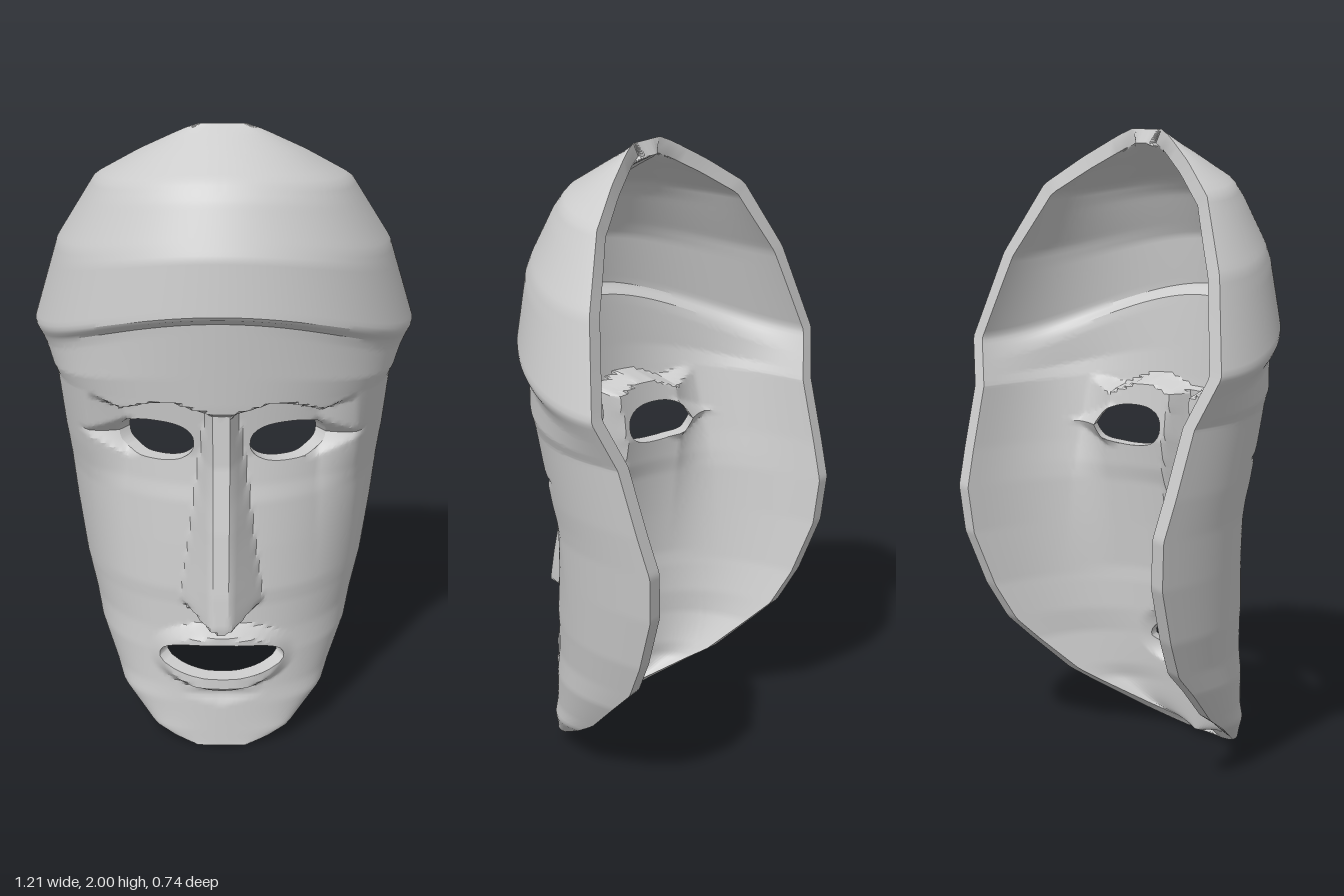
import * as THREE from 'three';
import { toCreasedNormals } from 'three/addons/utils/BufferGeometryUtils.js';

const ROWS = 168, COLS = 128, WALL = 0.05;
const clamp = (t) => Math.min(1, Math.max(0, t));

// Piecewise linear curve through [position, value] points
function curve(points) {
  return (t) => {
    let i = 1;
    while (i < points.length - 1 && t > points[i][0]) i++;
    const [a, va] = points[i - 1], [b, vb] = points[i];
    return va + (vb - va) * clamp((t - a) / (b - a));
  };
}

// Outline of the rim: half width and depth by height
const halfWidth = curve([[0, 0.08], [0.02, 0.15], [0.05, 0.22], [0.15, 0.33], [0.32, 0.41], [0.52, 0.465], [0.7, 0.495],
  [0.97, 0.525], [1.17, 0.54], [1.32, 0.605], [1.6, 0.52], [1.82, 0.39], [1.91, 0.25], [1.98, 0.12], [2, 0.07]]);
const rimZ = curve([[0, 0.255], [0.05, 0.18], [0.2, -0.04], [0.4, -0.24], [0.52, -0.3], [0.7, -0.36], [0.85, -0.37],
  [1.17, -0.28], [1.33, -0.235], [1.6, -0.17], [1.83, -0.1], [2, 0]]);
// Middle profile: chin, cheeks, forehead, overhanging cap
const frontZ = curve([[0, 0.26], [0.15, 0.25], [0.5, 0.23], [0.7, 0.235], [0.9, 0.235], [1.2, 0.272], [1.48, 0.295],
  [1.505, 0.335], [1.68, 0.315], [1.83, 0.24], [1.88, 0.2], [1.95, 0.085], [2, 0]]);
const roundness = curve([[0, 0.8], [1.3, 0.75], [1.52, 1], [2, 1]]);
// How far each row droops toward the sides, so the cap edge arches
const droop = curve([[1.15, 0], [1.45, 0.2], [1.52, 0.2], [2, 0]]);

// Nose ridge and width, brow line, and the hollow under the brow
const noseZ = curve([[0.45, 0.37], [0.5, 0.375], [0.6, 0.36], [0.8, 0.32], [1, 0.27], [1.17, 0.255]]);
const noseW = curve([[0.53, 0.13], [0.75, 0.1], [0.95, 0.075], [1.17, 0.045]]);
const browY = curve([[0, 1.17], [0.07, 1.185], [0.15, 1.21], [0.22, 1.2], [0.31, 1.165], [0.4, 1.19]]);
const socket = curve([[0.55, 0], [0.85, 0.035], [1, 0.075], [1.2, 0.08]]);

// Rounded openings; "up" and "down" are the heights above and below the centre
const holes = [
  { x: -0.205, y: 1.04, w: 0.118, up: 0.068, down: 0.066, p: 2.4 },
  { x: 0.205, y: 1.04, w: 0.118, up: 0.068, down: 0.066, p: 2.4 },
  { x: 0, y: 0.315, w: 0.2, up: 0.077, down: 0.043, p: 2.2 },
];
const lips = { x: 0, y: 0.315, w: 0.24, up: 0.127, down: 0.106, p: 2.1 };

function reach(h, x, y) {
  const dy = y - h.y;
  return (Math.abs((x - h.x) / h.w) ** h.p + Math.abs(dy / (dy > 0 ? h.up : h.down)) ** h.p) ** (1 / h.p);
}

// Depth of the carved face at a point
function faceZ(s, v, x, y, yRim) {
  const back = rimZ(yRim), ax = Math.abs(x);
  const round = Math.max(0, 1 - s * s) ** (roundness(v) / 2);
  let z = back + (frontZ(v) - back) * round;
  // eye sockets under the brow
  z -= socket(y) * clamp((browY(ax) - y) / 0.025) * clamp((0.42 - ax) / 0.12);
  // outer eye corners
  z -= 0.05 * Math.max(0, 1 - Math.abs(ax - 0.29) / 0.17 - Math.abs(y - 1.035) / 0.07);
  // lips
  const d = clamp((1 - reach(lips, x, y)) * 5);
  z += 0.055 * d * clamp(1.05 - (x / 0.23) ** 2);
  // hollow under the lower lip
  z -= 0.015 * Math.max(0, 1 - ax / 0.16 - Math.abs(y - 0.185) / 0.04);
  // nose, cut off by a pointed underside
  if (y < 1.175) {
    const k = clamp((noseW(y) - ax) / (noseW(y) - 0.03)) * clamp((y - 0.45 - 0.45 * ax) / 0.02);
    z += Math.max(0, noseZ(y) - z) * k;
  }
  return z;
}

// Closed shell: outer face, inner face and the walls joining them
function shellGeometry() {
  const outer = [], inner = [], open = [];
  for (let i = 0; i <= ROWS; i++) {
    for (let j = 0; j <= COLS; j++) {
      let v = (2 * i) / ROWS;
      let s = Math.sin((j / COLS - 0.5) * Math.PI);
      let yRim = v - droop(v);
      let x = s * halfWidth(yRim), y = v - droop(v) * s * s;
      // points inside an opening move out to its edge
      const hole = holes.find((h) => reach(h, x, y) < 1);
      open.push(!!hole);
      if (hole) {
        const r = Math.max(0.05, reach(hole, x, y));
        x = hole.x + (x - hole.x) / r;
        y = v = yRim = hole.y + (y - hole.y) / r;
        s = x / halfWidth(y);
      }
      const z = faceZ(s, v, x, y, yRim);
      outer.push(x, y, z);
      const t = y - 1;
      const n = new THREE.Vector3(s, t > 0 ? 1.6 * t ** 4 : 0.4 * t ** 5, Math.sqrt(Math.max(0, 1 - s * s)))
        .setLength(WALL);
      inner.push(x - n.x, y - n.y, z - n.z);
    }
  }

  const count = open.length, front = [], index = [];
  for (let i = 0; i < ROWS; i++) {
    for (let j = 0; j < COLS; j++) {
      const a = i * (COLS + 1) + j, b = a + 1, c = b + COLS + 1, d = c - 1;
      if (open[a] && open[b] && open[c] && open[d]) continue;
      front.push([a, b, c], [a, c, d]);
    }
  }
  const edges = new Set();
  for (const [a, b, c] of front) {
    index.push(a, b, c, a + count, c + count, b + count);
    for (const [p, q] of [[a, b], [b, c], [c, a]]) edges.add(p * count + q);
  }
  // walls along the rim and the openings
  for (const e of edges) {
    const q = e % count, p = (e - q) / count;
    if (!edges.has(q * count + p)) index.push(q, p, p + count, q, p + count, q + count);
  }

  const geometry = new THREE.BufferGeometry();
  geometry.setAttribute('position', new THREE.Float32BufferAttribute([...outer, ...inner], 3));
  geometry.setIndex(index);
  return toCreasedNormals(geometry, 0.5);
}

export function createModel() {
  const group = new THREE.Group();
  group.name = 'mask';
  const material = new THREE.MeshStandardMaterial({ color: 0xcccccc, side: THREE.DoubleSide });
  const shell = new THREE.Mesh(shellGeometry(), material);
  shell.name = 'carvedFaceShell';
  group.add(shell);
  return group;
}
